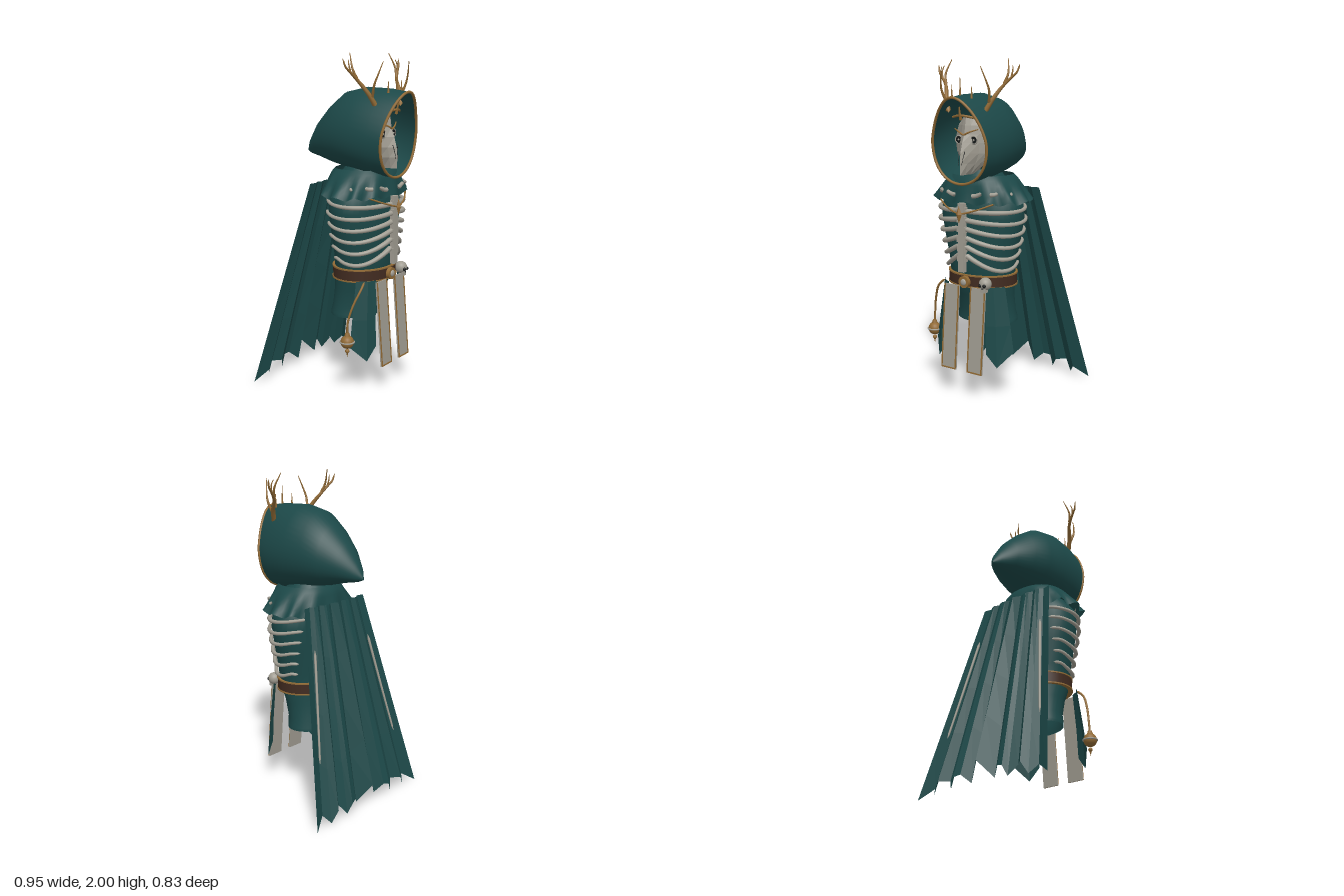
import * as THREE from 'three';

const V = (x, y, z) => new THREE.Vector3(x, y, z);
const paint = (name, color, side = THREE.FrontSide) => {
  const m = new THREE.MeshStandardMaterial({ color, side });
  m.name = name;
  return m;
};

// Surface through rows of points; flat = faceted
function loft(rows, closed, flat = false) {
  const n = rows[0].length, pos = [], idx = [];
  rows.forEach(r => r.forEach(p => pos.push(p.x, p.y, p.z)));
  for (let i = 0; i < rows.length - 1; i++)
    for (let j = 0; j < (closed ? n : n - 1); j++) {
      const k = (j + 1) % n, a = i * n + j, b = i * n + k, c = a + n, d = b + n;
      idx.push(a, c, b, b, c, d);
    }
  let g = new THREE.BufferGeometry();
  g.setAttribute('position', new THREE.Float32BufferAttribute(pos, 3));
  g.setIndex(idx);
  if (flat) g = g.toNonIndexed();
  g.computeVertexNormals();
  return g;
}

// Tube that tapers from r0 to r1, with closed ends
function taper(pts, r0, r1, seg = 20, sides = 8) {
  const curve = new THREE.CatmullRomCurve3(pts);
  const g = new THREE.TubeGeometry(curve, seg, 1, sides);
  const p = g.attributes.position, q = V();
  for (let i = 0; i <= seg; i++) {
    const c = curve.getPointAt(i / seg);
    const r = i === 0 || i === seg ? 0.0005 : r0 + (r1 - r0) * i / seg;
    for (let j = 0; j <= sides; j++) {
      const k = i * (sides + 1) + j;
      q.fromBufferAttribute(p, k).sub(c).multiplyScalar(r).add(c);
      p.setXYZ(k, q.x, q.y, q.z);
    }
  }
  return g;
}

const lerpTable = (t, y, col) => {
  for (let i = 0; i < t.length - 1; i++)
    if (y <= t[i][0] && y >= t[i + 1][0])
      return THREE.MathUtils.lerp(t[i][col], t[i + 1][col], (t[i][0] - y) / (t[i][0] - t[i + 1][0]));
  return y > t[0][0] ? t[0][col] : t[t.length - 1][col];
};

export function createModel() {
  const root = new THREE.Group();
  const teal = paint('teal cloth', 0x1c4848, THREE.DoubleSide);
  const bone = paint('bone', 0xa19d92, THREE.DoubleSide);
  const gold = paint('old gold', 0x916a35);
  const brown = paint('brown leather', 0x412b20);
  const dark = paint('dark hollow', 0x16191a);
  const add = (name, geo, mat, x = 0, y = 0, z = 0, parent = root) => {
    const m = new THREE.Mesh(geo, mat);
    m.name = name;
    m.position.set(x, y, z);
    parent.add(m);
    return m;
  };

  // Torso and short skirt: y, half width, half depth, centre z
  const body = [[1.25, .2, .15, .11], [1.17, .265, .175, .11], [1.08, .275, .18, .11], [.95, .25, .175, .11],
    [.8, .215, .165, .11], [.7, .205, .165, .11], [.6, .19, .145, .085], [.5, .19, .136, .066], [.45, .2, .142, .06], [.43, .2, .142, .06]];
  const onBody = (a, y, out = 0) => V((lerpTable(body, y, 1) + out) * Math.sin(a), y,
    lerpTable(body, y, 3) + (lerpTable(body, y, 2) + out) * Math.cos(a));
  const ring = (n, f) => Array.from({ length: n }, (_, i) => f(i / n * Math.PI * 2));
  add('torso', loft(body.map(b => ring(40, a => onBody(a, b[0]))), true), teal);

  // Shoulder mantle with fluted hem, slightly squared in plan
  const square = v => Math.sign(v) * Math.pow(Math.abs(v), .88);
  const onMantle = (a, t, out = 0) => {
    const w = Math.cos(a * 12) * t * t, e = Math.sqrt(t);
    return V((.185 + .122 * t + .016 * w + out) * square(Math.sin(a)), 1.33 - .155 * Math.pow(t, 1.15) + .012 * w,
      .11 + (.165 + .04 * e + .012 * w + out) * square(Math.cos(a)));
  };
  add('shoulderMantle', loft([0, .2, .4, .6, .8, 1].map(t => ring(72, a => onMantle(a, t))), true), teal);
  add('neck', new THREE.CylinderGeometry(.1, .17, .1, 24), teal, 0, 1.31, .11);

  // Hood: z, top y, bottom y, half width
  const hood = [[.335, 1.78, 1.285, .19], [.25, 1.797, 1.285, .213], [.13, 1.803, 1.3, .222], [0, 1.775, 1.325, .205],
    [-.1, 1.7, 1.345, .165], [-.2, 1.6, 1.37, .108], [-.28, 1.49, 1.385, .045], [-.318, 1.415, 1.4, .004]];
  const hoodPoint = (h, a) => {
    const s = Math.sin(a), lean = Math.max(0, (h[0] - .13) / .205);
    return V(h[3] * Math.cos(a) * (1 - .12 * s - .12 * lean * Math.max(0, s)), (h[1] + h[2]) / 2 + (h[1] - h[2]) / 2 * s,
      h[0] + .075 * lean * Math.pow((s + 1) / 2, 2.6));
  };
  add('hood', loft(hood.map(h => ring(40, a => hoodPoint(h, a))), true), teal);
  add('hoodTrim', new THREE.TubeGeometry(new THREE.CatmullRomCurve3(ring(28, a => hoodPoint(hood[0], a)), true),
    80, .008, 8, true), gold);
  const head = add('innerHead', new THREE.SphereGeometry(1, 24, 16), teal, 0, 1.51, .1);
  head.scale.set(.13, .17, .1);

  // Beaked mask: y, half width, ridge z
  const mask = [[1.665, .07, .275], [1.62, .108, .285], [1.57, .124, .292], [1.52, .13, .315],
    [1.46, .122, .332], [1.4, .08, .338], [1.335, .015, .335]];
  const maskPoint = (u, y) => {
    const w = lerpTable(mask, y, 1), front = lerpTable(mask, y, 2), a = Math.abs(u);
    return V(u * w, y, .2 + .065 * (1 - a * a) + (front - .265) * Math.max(0, 1 - a / .55));
  };
  add('mask', loft(mask.map(m => [-1, -.8, -.55, -.28, 0, .28, .55, .8, 1].map(u => maskPoint(u, m[0]))), false, true), bone);
  for (const s of [-1, 1]) {
    const e = maskPoint(s * .42, 1.537);
    add('eyeSocket', new THREE.CylinderGeometry(.022, .022, .008, 20).rotateX(Math.PI / 2), dark, e.x, e.y, e.z + .008);
    add('eyeRim', new THREE.TorusGeometry(.023, .004, 8, 20), bone, e.x, e.y, e.z + .01);
    add('eyeGlint', new THREE.SphereGeometry(.006, 10, 8), bone, e.x, e.y, e.z + .013);
    add('brow', taper([V(0, 1.565, .302), V(s * .035, 1.582, .296), V(s * .085, 1.6, .272)], .006, .003), gold);
    add('beakSlit', taper([V(s * .024, 1.475, .32), V(s * .016, 1.43, .33), V(s * .009, 1.39, .334)], .002, .001), dark);
  }
  // Forehead ornament
  add('browBand', taper([V(-.08, 1.665, .3), V(0, 1.678, .33), V(.08, 1.665, .3)], .007, .007), gold);
  add('browSpike', taper([V(0, 1.65, .325), V(0, 1.69, .335), V(0, 1.73, .34)], .01, .003), gold);

  // Antlers and crown spikes
  const antler = [
    [[[.125, 1.69, .275], [.165, 1.77, .245], [.2, 1.84, .2], [.25, 1.895, .175], [.275, 1.92, .165], [.288, 1.965, .155]], .016, .004],
    [[[.205, 1.85, .195], [.222, 1.91, .175], [.2, 1.999, .14]], .009, .002],
    [[[.15, 1.745, .26], [.168, 1.82, .285], [.158, 1.88, .305], [.135, 1.955, .325]], .009, .002],
    [[[.245, 1.89, .178], [.25, 1.93, .17], [.243, 1.96, .16]], .006, .002]];
  for (const s of [-1, 1]) {
    const g = new THREE.Group();
    g.name = s > 0 ? 'leftAntler' : 'rightAntler';
    root.add(g);
    for (const [pts, r0, r1] of antler)
      add('antlerBranch', taper(pts.map(p => V(s * p[0], p[1], p[2])), r0, r1), gold, 0, 0, 0, g);
  }
  for (const [x, h] of [[-.07, .08], [0, .14], [.07, .08]])
    add('crownSpike', new THREE.ConeGeometry(.007, h, 8), gold, x, 1.775 + h / 2, .33 - Math.abs(x) * .2);

  // Ribcage and breastbone
  add('breastbone', new THREE.BoxGeometry(.04, .41, .03), bone, 0, .97, .32);
  for (let i = 0; i < 6; i++) add('breastboneStep', new THREE.BoxGeometry(.062, .034, .024), bone, 0, 1.135 - i * .058, .32);
  for (let i = 0; i < 6; i++)
    for (const s of [-1, 1]) {
      const y = 1.13 - i * .052, end = 2.45 - i * .07, pts = [];
      for (let k = 0; k <= 8; k++) {
        const t = k / 8, a = .08 + (end - .08) * t;
        const p = onBody(s * a, y - Math.sin(Math.min(1, t * 1.1) * Math.PI) * (.01 + .01 * i) + .02 * t * t - .018 * i * t, .01);
        p.z += .028 * Math.pow(1 - t, 2);
        pts.push(p);
      }
      add('rib', taper(pts, .016, .009, 32), bone);
    }
  // Collar bones on the mantle
  for (const s of [-1, 1])
    for (const [a0, a1, t, r] of [[.17, .42, .74, .014], [.6, .85, .7, .013], [1.2, 1.26, .7, .009]])
      add('collarBone', taper([0, .5, 1].map(k => onMantle(s * (a0 + (a1 - a0) * k), t - .08 * k, .007)), r, r * .8, 10), bone);

  // Chain and pendant
  add('chestChain', taper([V(-.2, 1.18, .27), V(-.1, 1.14, .325), V(0, 1.115, .345), V(.1, 1.14, .325), V(.2, 1.18, .27)],
    .005, .005, 32), gold);
  const drop = add('pendant', new THREE.OctahedronGeometry(.03), gold, 0, 1.11, .35);
  drop.scale.set(.7, 1.7, .5);

  // Belt, buckle and skull charm
  const band = (r, h) => new THREE.CylinderGeometry(r, r, h, 40).scale(1, 1, .82);
  add('belt', band(.218, .066), brown, 0, .705, .11);
  for (const y of [.67, .738]) add('beltEdge', band(.223, .008), gold, 0, y, .11);
  add('buckle', new THREE.CylinderGeometry(.036, .036, .022, 24).rotateX(Math.PI / 2), gold, 0, .7, .3);
  add('buckleStud', new THREE.SphereGeometry(.02, 16, 10).scale(1, 1, .5), bone, 0, .7, .312);
  const skull = new THREE.Group();
  skull.name = 'skullCharm';
  skull.position.set(.14, .705, .285);
  root.add(skull);
  add('cranium', new THREE.SphereGeometry(.038, 20, 14), bone, 0, 0, 0, skull);
  add('jaw', new THREE.BoxGeometry(.036, .026, .03), bone, 0, -.036, .012, skull);
  for (const x of [-.014, .014]) add('skullEye', new THREE.SphereGeometry(.011, 12, 8), dark, x, -.006, .032, skull);
  add('skullNose', new THREE.ConeGeometry(.005, .012, 4), dark, 0, -.022, .033, skull);

  // Hanging front strips with gold borders, and pointed hip panels
  for (const s of [-1, 1]) {
    const strip = new THREE.Group();
    strip.name = 'frontStrip';
    strip.position.set(s * .095, .415, .314);
    strip.rotation.x = -.08;
    root.add(strip);
    add('stripCloth', new THREE.BoxGeometry(.108, .515, .01), bone, 0, 0, 0, strip);
    for (const e of [-1, 1]) add('stripEdge', new THREE.BoxGeometry(.008, .515, .004), gold, e * .05, 0, .006, strip);
    add('stripHem', new THREE.BoxGeometry(.1, .008, .004), gold, 0, -.2535, .006, strip);
    const rows = [[[.13, .68, .28], [.175, .68, .255], [.222, .68, .2]], [[.145, .45, .29], [.2, .45, .265], [.26, .45, .2]],
      [[.15, .28, .295], [.215, .2, .275], [.285, .29, .2]]];
    add('hipPanel', loft(rows.map(r => r.map(p => V(s * p[0], p[1], p[2]))), false, true), teal);
  }

  // Bell on a cord
  add('bellCord', taper([V(-.19, .68, .24), V(-.235, .64, .245), V(-.28, .55, .22), V(-.305, .45, .2), V(-.31, .37, .2)], .007, .006), gold);
  add('bell', new THREE.SphereGeometry(.04, 20, 14), gold, -.31, .335, .2);
  add('bellRim', new THREE.TorusGeometry(.041, .005, 8, 28).rotateX(Math.PI / 2), bone, -.31, .335, .2);
  add('bellCap', new THREE.CylinderGeometry(.012, .018, .02, 12), gold, -.31, .38, .2);
  add('bellTip', new THREE.SphereGeometry(.013, 12, 8), gold, -.31, .278, .2);
  add('bellPoint', new THREE.ConeGeometry(.007, .03, 8).rotateX(Math.PI), gold, -.31, .256, .2);

  // Pleated cape: column u, hem height, hem z
  const half = [[0, .14, -.415], [.18, .04, -.355], [.29, .09, -.392], [.38, .08, -.405], [.44, .02, -.39], [.53, .08, -.355],
    [.64, .08, -.402], [.73, .01, -.385], [.81, .06, -.346], [1, 0, -.39]];
  const cols = [...half.slice(1).reverse().map(c => [-c[0], c[1], c[2]]), ...half];
  const capePoint = ([u, hem, z], v) => V(u * (.265 + .21 * v), THREE.MathUtils.lerp(1.24, hem, v),
    THREE.MathUtils.lerp(-.115 + (z + .375) * .35 + .02 * u * u, z, v));
  add('cape', loft([0, .25, .5, .75, 1].map(v => cols.map(c => capePoint(c, v))), false, true), teal);
  // Pale tears down the cape
  for (const s of [-1, 1]) {
    const pts = [.2, .38, .56, .74].map(v => {
      const p = capePoint([s * (.79 + .09 * (v - .2)), .05, -.353], v);
      p.z -= .013;
      return p;
    });
    add('capeTear', taper(pts, .008, .006), bone);
  }
  return root;
}
